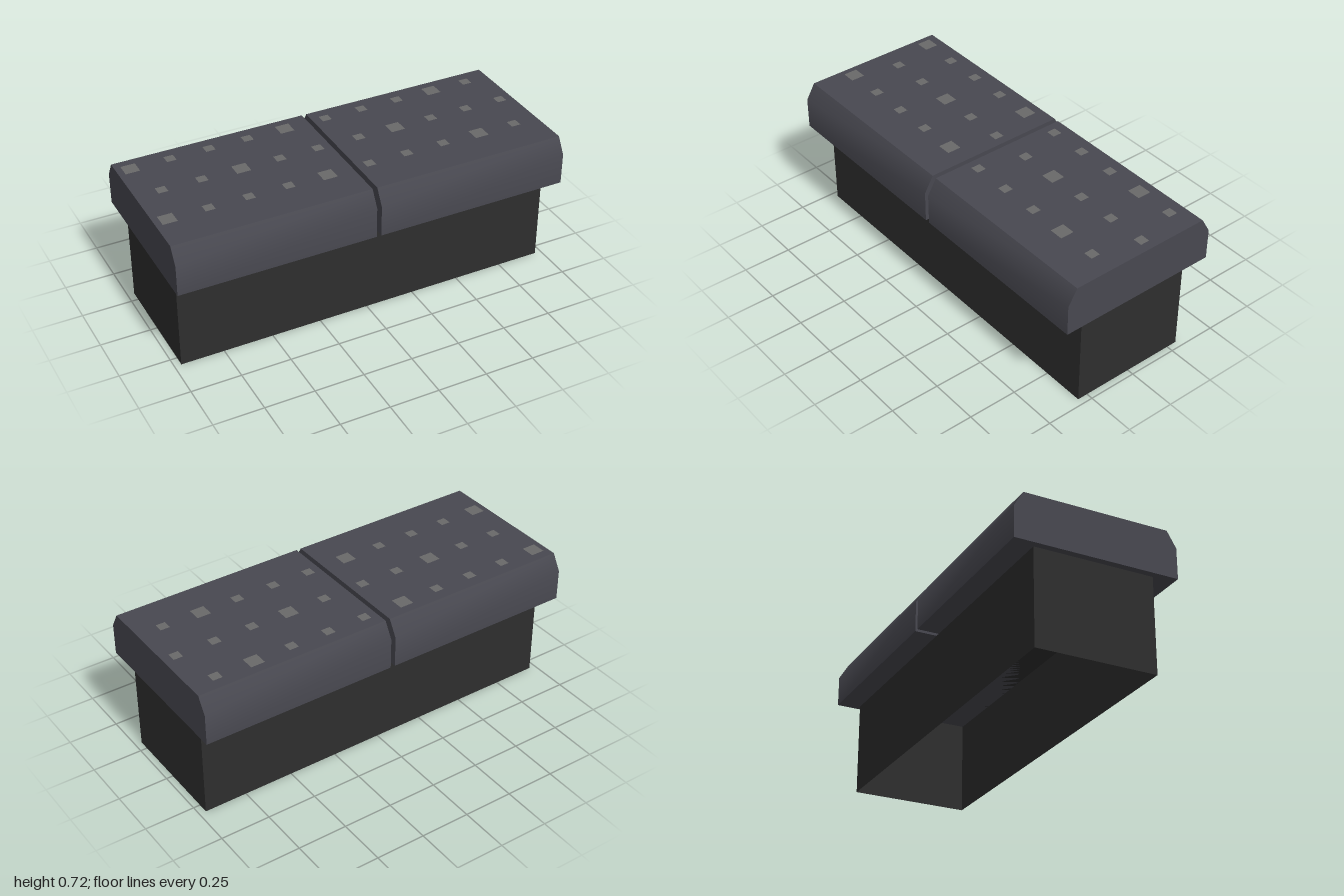
import * as THREE from 'three';
import { toCreasedNormals } from 'three/addons/utils/BufferGeometryUtils.js';

const material = (name, color, side = THREE.FrontSide) => {
  const m = new THREE.MeshStandardMaterial({ color, side });
  m.name = name;
  return m;
};

export function createModel() {
  const model = new THREE.Group();
  const charcoal = material('charcoal', 0x2e2e2e, THREE.DoubleSide);
  const slate = material('slate', 0x484850);
  const grey = material('grey', 0x696969, THREE.DoubleSide);

  const add = (name, geometry, mat, parent = model) => {
    const mesh = new THREE.Mesh(geometry, mat);
    mesh.name = name;
    parent.add(mesh);
    return mesh;
  };

  // Hollow base: a box without its bottom face
  const baseHeight = 0.483;
  const box = new THREE.BoxGeometry(1.932, baseHeight, 0.606);
  const index = Array.from(box.index.array);
  index.splice(18, 6);
  box.setIndex(index);
  box.clearGroups();
  add('base', box, charcoal).position.y = baseHeight / 2;

  // Two bevelled top slabs with a narrow gap between them
  const top = 0.72;
  const length = 0.988;
  const profile = new THREE.Shape([
    [-0.415, baseHeight], [0.415, baseHeight], [0.415, 0.64],
    [0.368, top], [-0.368, top], [-0.415, 0.64],
  ].map(([z, y]) => new THREE.Vector2(z, y)));
  const slab = toCreasedNormals(
    new THREE.ExtrudeGeometry(profile, { depth: length, bevelEnabled: false })
      .rotateY(Math.PI / 2),
    THREE.MathUtils.degToRad(40),
  );
  slab.clearGroups();
  add('rightSlab', slab, slate).position.x = -1;
  add('leftSlab', slab, slate).position.x = 1 - length;

  // Staggered rows of small square spots, with some larger ones
  const spots = new THREE.Group();
  spots.name = 'topSpots';
  model.add(spots);
  const small = new THREE.PlaneGeometry(0.048, 0.048).rotateX(-Math.PI / 2);
  const large = new THREE.PlaneGeometry(0.071, 0.071).rotateX(-Math.PI / 2);
  const halves = [
    { start: -0.934, outer: [0, 4], middle: [2] },
    { start: 0.077, outer: [3], middle: [1] },
  ];
  for (const { start, outer, middle } of halves) {
    [-0.29, -0.06, 0.17].forEach((z, row) => {
      const isMiddle = row === 1;
      const bigOnes = isMiddle ? middle : outer;
      for (let i = 0; i < 5; i++) {
        const x = start + i * 0.198 + (isMiddle ? 0.064 : 0);
        add('spot', bigOnes.includes(i) ? large : small, grey, spots)
          .position.set(x, top + 0.002, z);
      }
    });
  }

  return model;
}
